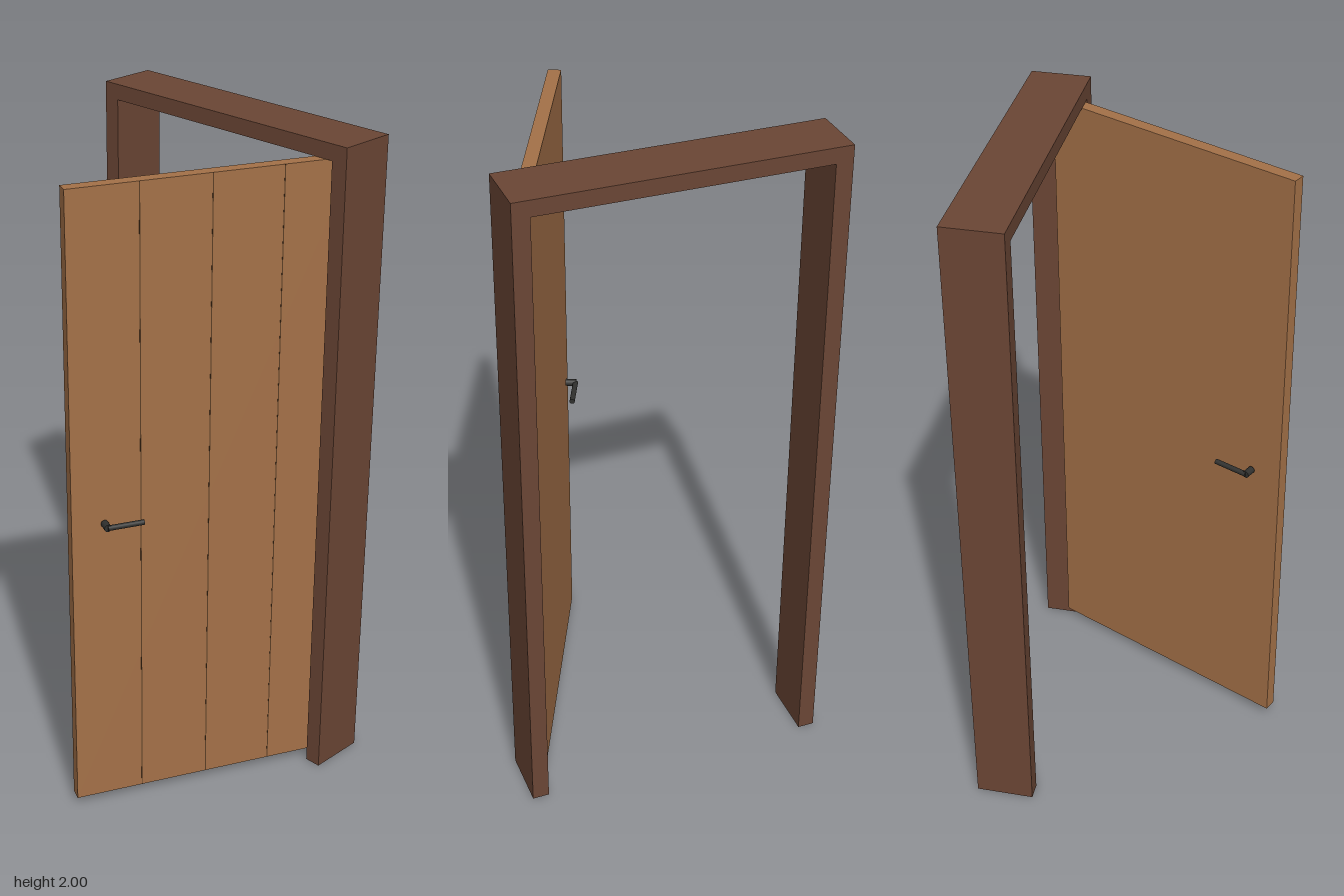
import * as THREE from 'three';

export function createModel() {
  const mat = (name, color) => {
    const m = new THREE.MeshStandardMaterial({ color });
    m.name = name;
    return m;
  };
  const darkWood = mat('darkWood', 0x6b4635);
  const lightWood = mat('lightWood', 0xa47148);
  const grooveWood = mat('grooveWood', 0x5a3d25);
  const blackMetal = mat('blackMetal', 0x30302e);

  const model = new THREE.Group();
  model.name = 'openDoor';
  const add = (parent, name, geometry, material, x = 0, y = 0, z = 0) => {
    const mesh = new THREE.Mesh(geometry, material);
    mesh.name = name;
    mesh.position.set(x, y, z);
    parent.add(mesh);
    return mesh;
  };

  // Frame: an upside-down U, extruded through the wall depth
  const W = 0.465, IN = 0.415, TOP = 1.953, DEPTH = 0.175, midZ = -0.3375;
  const outline = new THREE.Shape([
    [-W, 0], [-IN, 0], [-IN, TOP], [IN, TOP], [IN, 0], [W, 0], [W, 2], [-W, 2],
  ].map(([x, y]) => new THREE.Vector2(x, y)));
  add(model, 'frame', new THREE.ExtrudeGeometry(outline, { depth: DEPTH, bevelEnabled: false }),
    darkWood, 0, 0, midZ - DEPTH / 2);

  // Door: swings about the hinge line, its width runs along local -x
  const door = new THREE.Group();
  door.name = 'door';
  door.position.set(IN, 0, midZ);
  door.rotation.y = THREE.MathUtils.degToRad(65);
  model.add(door);

  const width = 0.828, thick = 0.038, bottom = 0.028, height = 1.925;
  const midY = bottom + height / 2;
  add(door, 'doorPanel', new THREE.BoxGeometry(width, height, thick), lightWood, -width / 2, midY, 0);

  // Fine plank seams on the outer face
  for (let i = 1; i < 4; i++) {
    add(door, 'plankSeam', new THREE.BoxGeometry(0.003, height, 0.001), grooveWood,
      -width * i / 4, midY, thick / 2);
  }

  // Lever handles, mirrored on both faces
  const handleY = 0.96, handleX = -width + 0.096;
  for (const side of [1, -1]) {
    const handle = new THREE.Group();
    handle.name = side > 0 ? 'outerHandle' : 'innerHandle';
    door.add(handle);
    const spindle = add(handle, 'spindle', new THREE.CylinderGeometry(0.011, 0.011, 0.032, 16),
      blackMetal, handleX, handleY, side * (thick / 2 + 0.021));
    spindle.rotation.x = Math.PI / 2;
    const lever = add(handle, 'lever', new THREE.CylinderGeometry(0.008, 0.008, 0.108, 16),
      blackMetal, handleX + 0.054, handleY, side * (thick / 2 + 0.035));
    lever.rotation.z = Math.PI / 2;
  }

  // Hinge barrels on the pivot line
  for (const y of [0.26, 1.06, 1.83]) {
    add(door, 'hinge', new THREE.CylinderGeometry(0.01, 0.01, 0.09, 16), blackMetal, 0, y, 0);
  }
  return model;
}
